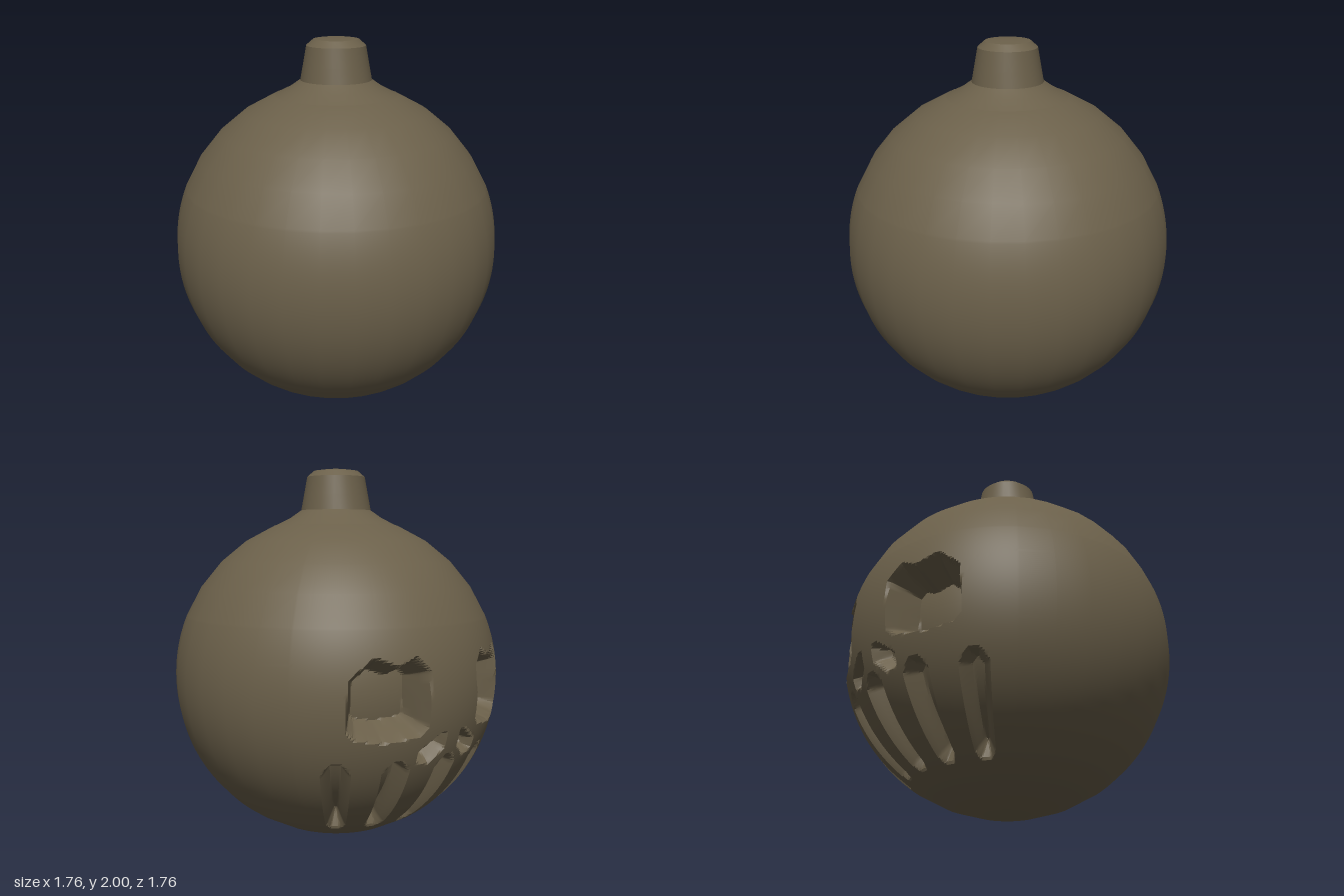
import * as THREE from 'three';
import { toCreasedNormals } from 'three/addons/utils/BufferGeometryUtils.js';

const RADIUS = 0.882;
const RAD = Math.PI / 180;

// Outlines of the carvings as [azimuth, elevation] in degrees; azimuth 0 faces -x
const EYE = [[11, 8.5], [16, 13.3], [22, 10.5], [30, 13.5], [38, 7], [39, -9], [36, -11.5], [27, -13], [14, -11.5], [11.5, -9]];
const NOSTRIL = [[3, -12], [6, -11.5], [14, -17], [14, -21], [9, -22], [3, -17]];
const GAP = [[-5, -24], [-2, -20], [2, -20], [5, -24], [5, -52], [3, -55], [-3, -55], [-5, -52]];

const mirror = (pts) => pts.map(([a, e]) => [-a, e]);
const carvings = [];
for (const side of [(p) => p, mirror]) {
  carvings.push({ outline: side(EYE), depth: 0.2, wall: 2.2 });
  carvings.push({ outline: side(NOSTRIL), depth: 0.1, wall: 2 });
}
for (let i = -2; i <= 2; i++) {
  carvings.push({ outline: GAP.map(([a, e]) => [a + i * 21, e]), depth: 0.1, wall: 2.5 });
}

// Distance in degrees from a point inside an outline to its edge, 0 outside
function insideDistance(az, el, outline) {
  let inside = false;
  let best = Infinity;
  const k = Math.cos(el * RAD);
  outline.forEach(([ax, ay], i) => {
    const [bx, by] = outline[(i + 1) % outline.length];
    if ((ay > el) !== (by > el) && az < ax + ((el - ay) * (bx - ax)) / (by - ay)) inside = !inside;
    const dx = (bx - ax) * k, dy = by - ay, px = (az - ax) * k, py = el - ay;
    const t = THREE.MathUtils.clamp((px * dx + py * dy) / (dx * dx + dy * dy), 0, 1);
    best = Math.min(best, Math.hypot(px - t * dx, py - t * dy));
  });
  return inside ? best : 0;
}

function surfaceRadius(az, el) {
  let cut = 0;
  if (Math.abs(az) < 60 && el > -60 && el < 20) {
    for (const { outline, depth, wall } of carvings) {
      cut = Math.max(cut, depth * Math.min(1, insideDistance(az, el, outline) / wall));
    }
  }
  return RADIUS - cut;
}

// Angles at a coarse step, with a fine step between lo and hi
function angles(start, end, lo, hi, coarse, fine) {
  const list = [];
  for (let a = start; a < end - 1e-6; a += a >= lo && a < hi - 1e-6 ? fine : coarse) list.push(a);
  list.push(end);
  return list;
}

// Ball whose surface is pushed inward at the carvings
function ballGeometry() {
  const azs = angles(-180, 180, -56.25, 56.25, 11.25, 0.75);
  const els = angles(-90, 90, -56.25, 22.5, 11.25, 0.75);
  const positions = [];
  const index = [];
  const cols = azs.length;
  els.forEach((el, j) => azs.forEach((az, i) => {
    const r = surfaceRadius(az, el);
    const c = r * Math.cos(el * RAD);
    positions.push(-c * Math.cos(az * RAD), RADIUS + r * Math.sin(el * RAD), c * Math.sin(az * RAD));
    if (i === cols - 1 || j === els.length - 1) return;
    const a = j * cols + i, b = a + 1, d = a + cols, e = d + 1;
    if (j > 0) index.push(a, b, e);
    if (j < els.length - 2) index.push(a, e, d);
    else index.push(a, b, d);
  }));
  const geometry = new THREE.BufferGeometry();
  geometry.setAttribute('position', new THREE.Float32BufferAttribute(positions, 3));
  geometry.setIndex(index);
  return toCreasedNormals(geometry, 0.5);
}

function lathe(points) {
  const profile = points.map(([x, y]) => new THREE.Vector2(x, y));
  return toCreasedNormals(new THREE.LatheGeometry(profile, 32), 0.5);
}

export function createModel() {
  const group = new THREE.Group();
  const material = new THREE.MeshStandardMaterial({ color: 0x6b604a });
  const add = (name, geometry) => {
    const mesh = new THREE.Mesh(geometry, material);
    mesh.name = name;
    group.add(mesh);
  };

  // Ball with eye sockets, nostrils and gaps between the teeth
  add('carvedBall', ballGeometry());
  // Shoulder that flares from the ball up to the neck
  add('shoulder', lathe([[0.35, 1.688], [0.25, 1.738], [0.19, 1.78]]));
  // Tapered neck
  add('neck', lathe([[0.19, 1.78], [0.175, 1.86], [0.157, 1.958]]));
  // Shallow domed cap
  add('cap', lathe([[0.157, 1.958], [0.12, 1.99], [0.06, 1.998], [0, 2]]));
  return group;
}
